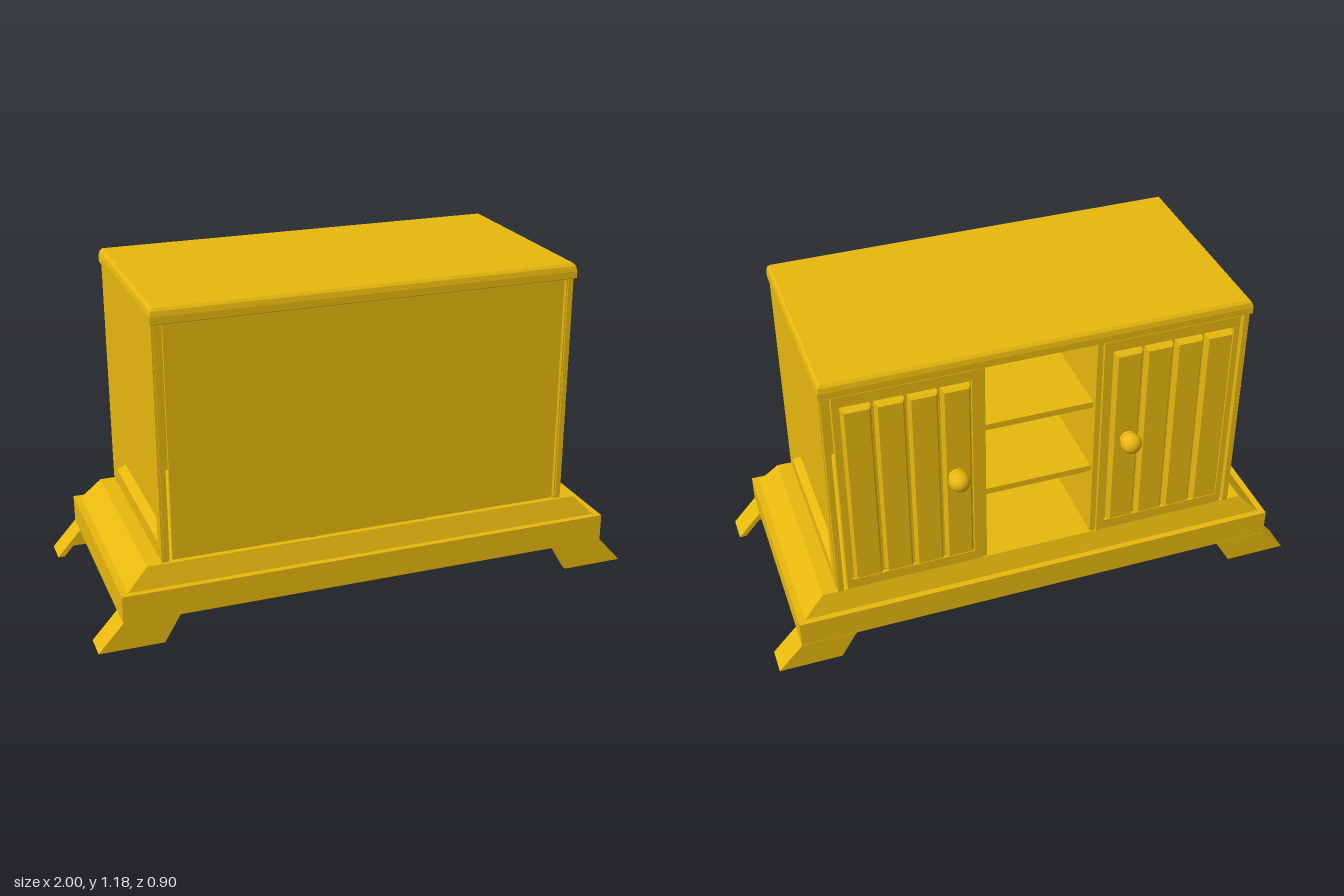
import * as THREE from 'three';

const wood = new THREE.MeshStandardMaterial({ color: 0xe8b80e, side: THREE.DoubleSide });

function add(parent, name, geo, x = 0, y = 0, z = 0) {
  const m = new THREE.Mesh(geo, wood);
  m.name = name;
  m.position.set(x, y, z);
  parent.add(m);
  return m;
}

// box given by its limits
function slab(parent, name, x0, x1, y0, y1, z0, z1) {
  const geo = new THREE.BoxGeometry(Math.abs(x1 - x0), y1 - y0, z1 - z0);
  return add(parent, name, geo, (x0 + x1) / 2, (y0 + y1) / 2, (z0 + z1) / 2);
}

// skin over stacked rectangles [halfX, halfZ, y], capped at both ends, flat faces
function rectLoft(rings) {
  const pos = [], idx = [];
  for (const [hx, hz, y] of rings) pos.push(-hx, y, -hz, hx, y, -hz, hx, y, hz, -hx, y, hz);
  for (let r = 0; r < rings.length - 1; r++) {
    for (let i = 0; i < 4; i++) {
      const a = r * 4 + i, b = r * 4 + (i + 1) % 4;
      idx.push(a, a + 4, b + 4, a, b + 4, b);
    }
  }
  const n = (rings.length - 1) * 4;
  idx.push(0, 1, 2, 0, 2, 3, n, n + 2, n + 1, n, n + 3, n + 2);
  const g = new THREE.BufferGeometry();
  g.setAttribute('position', new THREE.Float32BufferAttribute(pos, 3));
  g.setIndex(idx);
  const flat = g.toNonIndexed();
  flat.computeVertexNormals();
  return flat;
}

function plate(points, depth) {
  const shape = new THREE.Shape(points.map(p => new THREE.Vector2(...p)));
  return new THREE.ExtrudeGeometry(shape, { depth, bevelEnabled: false });
}

function createBase() {
  const base = new THREE.Group();
  base.name = 'base';
  // hollow plinth with a sloped shoulder
  add(base, 'plinth', rectLoft([
    [0.80, 0.37, 0.26], [0.885, 0.403, 0.195], [0.885, 0.403, 0.098], [0.91, 0.425, 0.098],
    [0.91, 0.425, 0.2], [0.885, 0.403, 0.2], [0.81, 0.38, 0.275],
  ]), 0, 0, 0.026);

  // flared bracket feet
  for (const s of [1, -1]) {
    const face = plate([[s * 0.91, 0.1], [s, 0], [s * 0.77, 0], [s * 0.71, 0.1]], 0.022);
    const flare = plate([[s * 0.91, 0.1], [s, 0], [s * 0.975, 0], [s * 0.885, 0.1]], 0.1);
    add(base, 'footFaceFront', face, 0, 0, 0.428);
    add(base, 'footFlareFront', flare, 0, 0, 0.35);
    add(base, 'footFaceBack', face, 0, 0, -0.4);
    add(base, 'footFlareBack', flare, 0, 0, -0.4);
  }
  return base;
}

function createDoor(s) {
  const door = new THREE.Group();
  door.name = s > 0 ? 'leftDoor' : 'rightDoor';
  slab(door, 'doorPanel', s * 0.22, s * 0.72, 0.285, 1.12, -0.352, -0.335);
  // raised frame around the slats
  slab(door, 'outerStile', s * 0.7, s * 0.72, 0.285, 1.12, -0.364, -0.352);
  slab(door, 'innerStile', s * 0.22, s * 0.25, 0.285, 1.12, -0.364, -0.352);
  slab(door, 'bottomRail', s * 0.25, s * 0.7, 0.285, 0.325, -0.364, -0.352);
  slab(door, 'topRail', s * 0.25, s * 0.7, 1.08, 1.12, -0.364, -0.352);
  // four bevelled slats
  for (let i = 0; i < 4; i++) {
    const slat = rectLoft([[0.05, 0.3675, 0], [0.05, 0.3675, 0.018], [0.042, 0.3595, 0.03]]);
    slat.rotateX(-Math.PI / 2);
    add(door, 'slat', slat, s * (0.307 + i * 0.112), 0.7025, -0.35);
  }
  // round knob on a short neck
  const profile = [new THREE.Vector2(0.032, 0), new THREE.Vector2(0.026, 0.02)];
  for (let i = 0; i <= 12; i++) {
    const a = -0.8 + (i / 12) * (Math.PI / 2 + 0.8);
    profile.push(new THREE.Vector2(0.038 * Math.cos(a), 0.04 + 0.038 * Math.sin(a)));
  }
  const knob = add(door, 'knob', new THREE.LatheGeometry(profile, 24), s * 0.315, 0.707, -0.373);
  knob.rotation.x = -Math.PI / 2;
  return door;
}

export function createModel() {
  const model = new THREE.Group();
  model.name = 'cabinet';
  model.add(createBase());

  for (const s of [1, -1]) {
    // side with a sunken, bevelled panel
    const side = add(model, s > 0 ? 'leftSide' : 'rightSide', rectLoft([
      [0.4225, 0.37, 0.73], [0.4225, 0.37, 0.757], [0.365, 0.318, 0.757], [0.325, 0.278, 0.722],
    ]), 0, 0.7, 0.03);
    side.rotation.z = -s * Math.PI / 2;

    slab(model, 'cornerPost', s * 0.735, s * 0.755, 0.28, 1.125, -0.362, -0.34);
    slab(model, 'cornerBead', s * 0.735, s * 0.75, 0.28, 1.125, 0.4, 0.405);
    slab(model, 'partition', s * 0.2, s * 0.22, 0.275, 1.125, -0.35, 0.39);
    model.add(createDoor(s));
  }

  // closed long panel and the open middle shelves
  slab(model, 'longPanel', -0.72, 0.72, 0.284, 1.125, 0.39, 0.403);
  for (const y of [0.56, 0.845]) slab(model, 'shelf', -0.2, 0.2, y - 0.012, y + 0.012, -0.33, 0.39);

  // top board with a softened upper edge
  add(model, 'topBoard', rectLoft([
    [0.755, 0.385, 1.122], [0.762, 0.392, 1.126], [0.762, 0.392, 1.15],
    [0.758, 0.388, 1.168], [0.75, 0.38, 1.178],
  ]), 0, 0, 0.022);
  return model;
}
